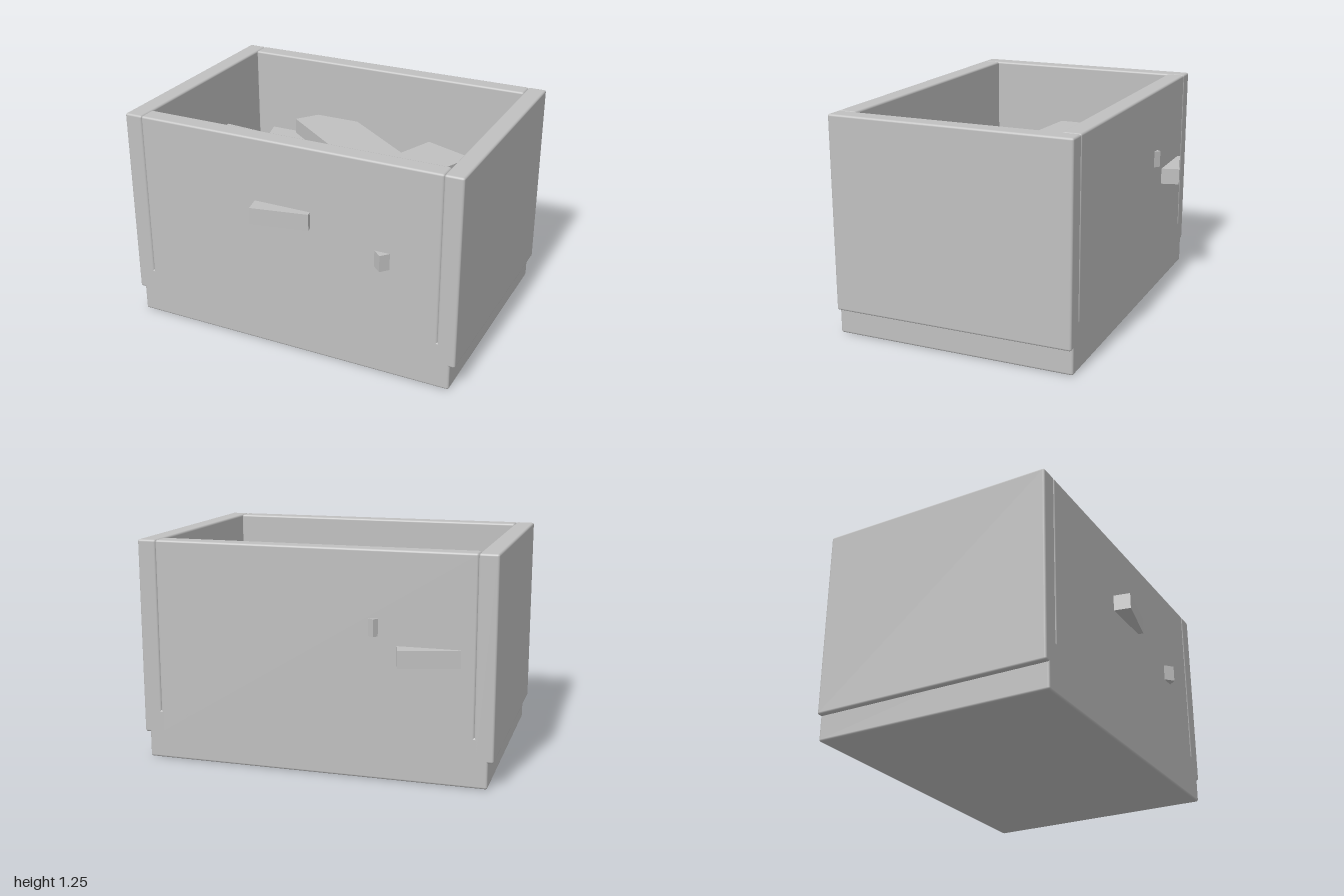
import * as THREE from 'three';
import { RoundedBoxGeometry } from 'three/addons/geometries/RoundedBoxGeometry.js';

export function createModel() {
  const model = new THREE.Group();
  model.name = 'crateOfPlanks';
  const grey = new THREE.MeshStandardMaterial({ color: 0xc0c0c0 });
  grey.name = 'plainGrey';

  // Box with softened edges, given by its extents
  function panel(name, x0, x1, y0, y1, z0, z1) {
    const geo = new RoundedBoxGeometry(x1 - x0, y1 - y0, z1 - z0, 2, 0.012);
    const mesh = new THREE.Mesh(geo, grey);
    mesh.name = name;
    mesh.position.set((x0 + x1) / 2, (y0 + y1) / 2, (z0 + z1) / 2);
    model.add(mesh);
  }

  // Plinth, doubling as the floor
  panel('base', -0.97, 0.97, 0, 0.28, -0.695, 0.695);

  // Overhanging end walls
  panel('leftWall', 0.893, 1, 0.145, 1.25, -0.695, 0.695);
  panel('rightWall', -1, -0.893, 0.145, 1.25, -0.695, 0.695);

  // Long walls between the ends
  panel('frontWall', -0.895, 0.895, 0.145, 1.25, 0.587, 0.695);
  panel('backWall', -0.895, 0.895, 0.145, 1.25, -0.695, -0.587);

  // Loose planks: middle of one end (x, z) and heading in degrees from +x towards +z
  const LENGTH = 0.89, WIDTH = 0.328, THICK = 0.095;
  const plankGeo = new THREE.BoxGeometry(LENGTH, THICK, WIDTH);
  const layers = [
    { name: 'lowerPlank', y: 0.697, planks: [
      [-0.66, -0.755, 74.6],
      [0.685, 0.6175, 222.2],
      [0.8, -0.32, 180],
      [-0.475, 0.2375, -33],
    ] },
    { name: 'upperPlank', y: 0.837, planks: [
      [-0.005, 0.7575, 258.7],
      [-0.45, -0.59, 37],
      [0.5125, -0.42, 110.9],
      [-0.95, -0.04, 5],
    ] },
  ];
  for (const { name, y, planks } of layers) {
    planks.forEach(([x, z, deg], i) => {
      const a = THREE.MathUtils.degToRad(deg);
      const plank = new THREE.Mesh(plankGeo, grey);
      plank.name = name + (i + 1);
      plank.position.set(x + Math.cos(a) * LENGTH / 2, y, z + Math.sin(a) * LENGTH / 2);
      plank.rotation.y = -a;
      model.add(plank);
    });
  }
  return model;
}
